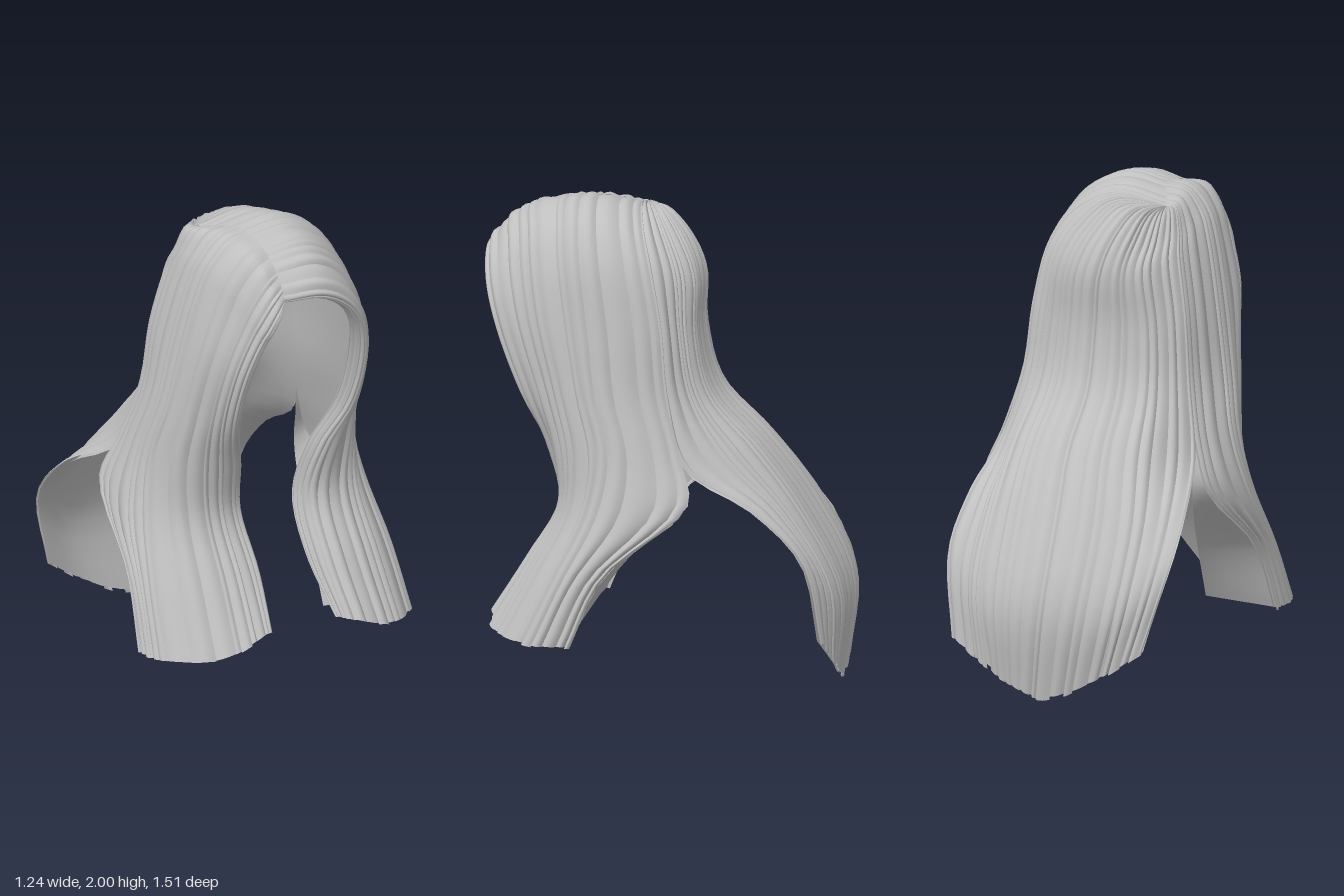
import * as THREE from 'three';

const V = (p) => new THREE.Vector3(...p);
const ROWS = 40;   // steps from root to tip
const ACROSS = 5;  // steps over the width of one strand

// Rails run from root to tip, ten points each: [x, y, z].
const frontRail = [
  [-0.13, 1.77, 0.72], [0.04, 1.77, 0.745], [0.16, 1.71, 0.74], [0.24, 1.61, 0.72], [0.285, 1.45, 0.67],
  [0.285, 1.20, 0.57], [0.215, 0.98, 0.46], [0.18, 0.75, 0.40], [0.17, 0.52, 0.53], [0.19, 0.30, 0.68]];
const templeRail = [
  [-0.12, 1.90, 0.60], [0.05, 1.92, 0.62], [0.19, 1.84, 0.60], [0.28, 1.70, 0.58], [0.34, 1.50, 0.54],
  [0.37, 1.22, 0.46], [0.38, 0.98, 0.40], [0.37, 0.75, 0.40], [0.38, 0.50, 0.53], [0.40, 0.23, 0.68]];
const sideRail = [
  [-0.11, 1.965, 0.36], [0.06, 1.985, 0.37], [0.22, 1.91, 0.36], [0.32, 1.76, 0.34], [0.38, 1.50, 0.30],
  [0.43, 1.22, 0.26], [0.48, 0.98, 0.20], [0.525, 0.75, 0.24], [0.575, 0.47, 0.38], [0.60, 0.21, 0.50]];
const seamRail = [
  [-0.20, 1.92, 0.12], [0.03, 1.955, 0.12], [0.20, 1.87, 0.09], [0.29, 1.74, 0.05], [0.34, 1.50, 0.00],
  [0.37, 1.22, -0.03], [0.43, 0.98, -0.10], [0.50, 0.80, -0.14], [0.57, 0.50, 0.20], [0.60, 0.20, 0.34]];
const backQuarterRail = [
  [-0.20, 1.92, 0.12], [0.00, 1.935, 0.05], [0.10, 1.84, -0.03], [0.17, 1.69, -0.10], [0.20, 1.45, -0.11],
  [0.22, 1.20, -0.17], [0.25, 0.98, -0.36], [0.28, 0.72, -0.56], [0.27, 0.40, -0.72], [0.22, 0.09, -0.71]];
const backCentreRail = [
  [-0.20, 1.92, 0.12], [-0.12, 1.91, 0.03], [-0.07, 1.82, -0.07], [-0.03, 1.68, -0.13], [-0.01, 1.45, -0.13],
  [-0.01, 1.20, -0.20], [-0.01, 0.98, -0.40], [-0.01, 0.73, -0.58], [-0.01, 0.40, -0.74], [0.02, 0.00, -0.71]];

// The back sheet leaves the side seam below the shoulder and sweeps backwards.
const backEdgeRail = [...seamRail.slice(0, 6),
  [0.43, 0.94, -0.12], [0.48, 0.78, -0.40], [0.49, 0.57, -0.61], [0.42, 0.22, -0.68]];

// Rear flap: the lower curtain turns inwards behind the seam.
const flapOuterRail = seamRail.slice(5);
const flapInnerRail = [
  [0.36, 1.22, -0.03], [0.41, 0.96, -0.10], [0.40, 0.79, -0.10], [0.32, 0.48, 0.16], [0.28, 0.22, 0.34]];

// Front edge folded inwards by the given width.
const fold = (width) => frontRail.map(([x, y, z], i) => {
  const s = Math.min(1, i / 4) * (i > 8 ? 0.5 : 1);
  return [x - width * s, y - 0.01, z - 0.02 - 0.08 * s];
});

const mirrorX = (rail) => rail.map(([x, y, z]) => [-x, y, z]);

// Mirror a full rail, keeping its root on the off-centre parting.
function mirrorFromParting(rail) {
  const blend = [0, 0.42, 0.8], drop = [0, 0.04, 0.05];
  return rail.map(([x, y, z], i) => {
    if (i > 2) return [-x, y, z];
    return [THREE.MathUtils.lerp(rail[0][0], -rail[3][0], blend[i]), y - drop[i], z];
  });
}

function seeded(seed) {
  return () => {
    seed = (seed * 16807) % 2147483647;
    return seed / 2147483647;
  };
}

// Returns row(v), which gives a function (u, lift) -> point on the lofted sheet.
function loft(rails) {
  const curves = rails.map((r) => new THREE.CatmullRomCurve3(r.map(V)));
  const section = (v) => new THREE.CatmullRomCurve3(curves.map((c) => c.getPoint(THREE.MathUtils.clamp(v, 0, 1))));
  return (v) => {
    const here = section(v), below = section(v + 0.01), above = section(v - 0.01);
    return (u, lift) => {
      const du = here.getPoint(Math.min(1, u + 0.01)).sub(here.getPoint(Math.max(0, u - 0.01)));
      const dv = below.getPoint(u).sub(above.getPoint(u));
      return here.getPoint(u).addScaledVector(dv.cross(du).normalize(), lift);
    };
  };
}

// Adds the triangles of a grid whose first vertex is base.
function gridFaces(index, base, rows, cols) {
  const w = cols + 1;
  for (let j = 0; j < rows; j++) {
    for (let i = 0; i < cols; i++) {
      const a = base + j * w + i;
      index.push(a, a + w, a + 1, a + 1, a + w, a + w + 1);
    }
  }
}

function toGeometry(pos, index) {
  const g = new THREE.BufferGeometry();
  g.setAttribute('position', new THREE.Float32BufferAttribute(pos, 3));
  g.setIndex(index);
  g.computeVertexNormals();
  return g;
}

// Sheet of rounded strands of uneven width; the grooves between them stay sharp.
function strandSheet(rails, count, seed, slits = []) {
  const rand = seeded(seed);
  const row = loft(rails);
  const pos = [], index = [];
  const cuts = [0];
  for (let s = 0; s < count; s++) cuts.push(cuts[s] + 0.4 + 1.2 * rand());
  for (let s = 0; s < count; s++) {
    const u0 = cuts[s] / cuts[count], u1 = cuts[s + 1] / cuts[count];
    const lift = 0.005 + 0.15 * (u1 - u0) * rand();
    const length = 1 - 0.005 * rand();
    const lean = 0.6 + 0.8 * rand();
    const base = pos.length / 3;
    for (let j = 0; j <= ROWS; j++) {
      const v = (j / ROWS) * length;
      const at = row(v);
      const open = slits.includes(s) ? 0.35 * THREE.MathUtils.smoothstep(v, 0.84, 1) : 0;
      for (let i = 0; i <= ACROSS; i++) {
        const f = i / ACROSS;
        const u = THREE.MathUtils.lerp(u0 + (u1 - u0) * open, u1, f);
        const bump = lift * Math.sin(Math.PI * Math.pow(f, lean)) * Math.min(1, 0.3 + 6 * v);
        const p = at(u, bump);
        pos.push(p.x, Math.max(0, p.y), p.z);
      }
    }
    gridFaces(index, base, ROWS, ACROSS);
  }
  return toGeometry(pos, index);
}

// Smooth sheet, set just beneath the rails.
function smoothSheet(rails) {
  const rows = 32, cols = 24;
  const row = loft(rails);
  const pos = [], index = [];
  for (let j = 0; j <= rows; j++) {
    const at = row((j / rows) * 0.995);
    for (let i = 0; i <= cols; i++) {
      const p = at(i / cols, -0.012);
      pos.push(p.x, Math.max(0, p.y), p.z);
    }
  }
  gridFaces(index, 0, rows, cols);
  return toGeometry(pos, index);
}

export function createModel() {
  const group = new THREE.Group();
  group.name = 'longHair';
  const hair = new THREE.MeshStandardMaterial({ color: 0xbfbfbf, side: THREE.DoubleSide });
  hair.name = 'hairGrey';
  const add = (name, geometry) => {
    const mesh = new THREE.Mesh(geometry, hair);
    mesh.name = name;
    group.add(mesh);
  };

  // Side curtains, falling from the parting over each shoulder
  const outer = [frontRail, templeRail, sideRail, seamRail];
  const left = [fold(0.02), ...outer];
  const right = [fold(0.07), ...outer].map(mirrorFromParting).reverse();
  add('leftCurtain', strandSheet(left, 18, 11));
  add('leftCurtainLining', smoothSheet(left));
  add('rightCurtain', strandSheet(right, 18, 47));
  add('rightCurtainLining', smoothSheet(right));

  // Flaps closing the rear of each curtain
  add('leftRearFlap', smoothSheet([flapOuterRail, flapInnerRail]));
  add('rightRearFlap', smoothSheet([flapInnerRail, flapOuterRail].map(mirrorX)));

  // Back sheet, from the crown down to the swept tips, which drift slightly to one side
  const back = [backEdgeRail, backQuarterRail, backCentreRail,
    mirrorFromParting(backQuarterRail), mirrorFromParting(backEdgeRail)]
    .map((rail) => rail.map(([x, y, z], i) => [i === 7 || i === 8 ? x - 0.025 : x, y, z]));
  add('backHair', strandSheet(back, 22, 83, [6, 17]));
  add('backHairLining', smoothSheet(back));

  return group;
}
